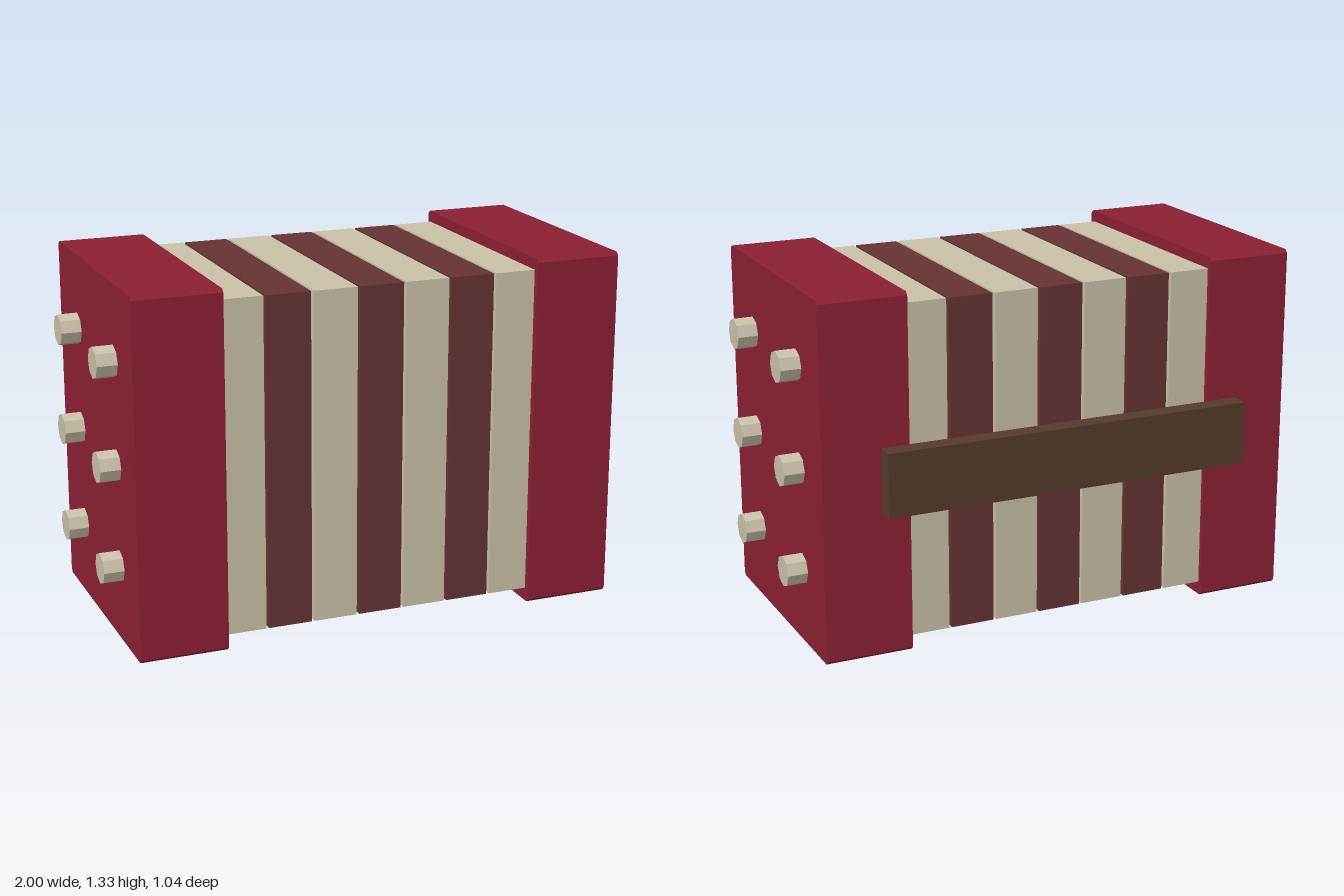
import * as THREE from 'three';

const flat = (name, color) => {
  const m = new THREE.MeshStandardMaterial({ color });
  m.name = name;
  return m;
};

export function createModel() {
  const red = flat('crimson', 0x8c2034);
  const cream = flat('cream', 0xcac1a9);
  const maroon = flat('maroon', 0x663233);
  const brown = flat('brown', 0x563a2c);

  const group = new THREE.Group();
  group.name = 'bellowsBox';
  const add = (name, geometry, material, x, y, z) => {
    const mesh = new THREE.Mesh(geometry, material);
    mesh.name = name;
    mesh.position.set(x, y, z);
    group.add(mesh);
    return mesh;
  };

  // End block: chamfered rectangle extruded along x
  const w = 0.476, h = 0.665, c = 0.012, depth = 0.327;
  const profile = new THREE.Shape([
    [-w + c, -h], [w - c, -h], [w, -h + c], [w, h - c],
    [w - c, h], [-w + c, h], [-w, h - c], [-w, -h + c],
  ].map(([a, b]) => new THREE.Vector2(a, b)));
  const blockGeo = new THREE.ExtrudeGeometry(profile, { depth, bevelEnabled: false });
  blockGeo.translate(0, 0, -depth / 2).rotateY(Math.PI / 2);

  // Eight-sided button lying along x, sunk slightly into its block
  const buttonGeo = new THREE.CylinderGeometry(0.0585, 0.0585, 0.085, 8).toNonIndexed();
  buttonGeo.rotateZ(Math.PI / 2);
  buttonGeo.computeVertexNormals();

  for (const [side, s] of [['left', 1], ['right', -1]]) {
    add(side + 'EndBlock', blockGeo, red, s * 0.7615, h, 0.043);
    for (const y of [0.287, 0.668, 1.05]) {
      for (const z of [0.282, -0.195]) add(side + 'Button', buttonGeo, cream, s * 0.9575, y, z);
    }
  }

  // Alternating bellows folds with narrow gaps between them
  const foldGeo = new THREE.BoxGeometry(0.166, 1.237, 0.905);
  for (let i = -3; i <= 3; i++) {
    add('bellowsFold', foldGeo, i % 2 ? cream : maroon, i * 0.176, 0.6685, 0.04);
  }

  // Hand strap behind the bellows
  add('handStrap', new THREE.BoxGeometry(1.424, 0.238, 0.071), brown, 0, 0.669, -0.4835);

  return group;
}
